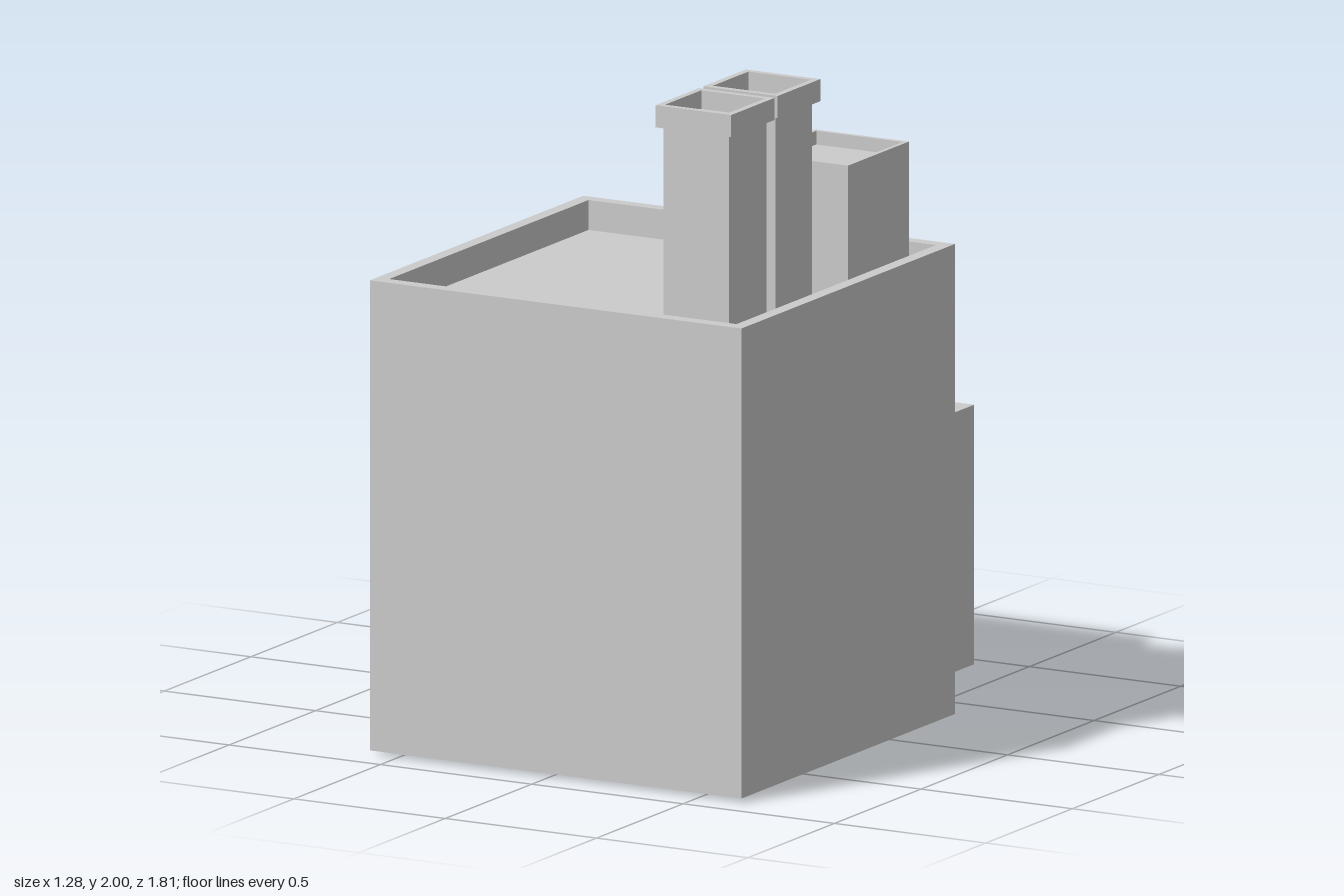
import * as THREE from 'three';

const material = new THREE.MeshStandardMaterial({
  color: 0xcccccc, flatShading: true, side: THREE.DoubleSide,
});

function addMesh(parent, name, geometry) {
  const mesh = new THREE.Mesh(geometry, material);
  mesh.name = name;
  parent.add(mesh);
  return mesh;
}

// Box given by its limits on each axis
function boxBetween(x0, x1, y0, y1, z0, z1) {
  return new THREE.BoxGeometry(x1 - x0, y1 - y0, z1 - z0)
    .translate((x0 + x1) / 2, (y0 + y1) / 2, (z0 + z1) / 2);
}

// Skin over stacked rectangles [x0, x1, z0, z1, y], closed by a cap on the last.
// Sides are 0 front, 1 +x, 2 back, 3 -x; skip(band, side) leaves a side open.
function loft(levels, { bottom = false, skip = () => false } = {}) {
  const positions = [];
  const quad = (a, b, c, d) => positions.push(...a, ...b, ...c, ...a, ...c, ...d);
  const rings = levels.map(([x0, x1, z0, z1, y]) =>
    [[x0, y, z1], [x1, y, z1], [x1, y, z0], [x0, y, z0]]);
  for (let k = 0; k < rings.length - 1; k++) {
    for (let i = 0; i < 4; i++) {
      const j = (i + 1) % 4;
      if (!skip(k, i)) quad(rings[k][i], rings[k][j], rings[k + 1][j], rings[k + 1][i]);
    }
  }
  quad(...rings[rings.length - 1]);
  if (bottom) quad(...[...rings[0]].reverse());
  const geometry = new THREE.BufferGeometry();
  geometry.setAttribute('position', new THREE.Float32BufferAttribute(positions, 3));
  geometry.computeVertexNormals();
  return geometry;
}

// Framed door on a wall facing -x; the frame passes through the wall
function addDoor(parent, name, { wall, depth, z0, z1, y0, y1, trim, handle }) {
  const door = new THREE.Group();
  door.name = name;
  const front = wall - depth;
  const inside = wall + depth * 0.6;
  addMesh(door, 'backPost', boxBetween(front, inside, y0, y1 - trim, z0, z0 + trim));
  addMesh(door, 'frontPost', boxBetween(front, inside, y0, y1 - trim, z1 - trim, z1));
  addMesh(door, 'lintel', boxBetween(front, inside, y1 - trim, y1, z0, z1));
  const panelBase = Math.max(y0, 0.012);
  addMesh(door, 'panel', new THREE.PlaneGeometry(z1 - z0 - 2 * trim, y1 - trim - panelBase)
    .rotateY(-Math.PI / 2)
    .translate(wall - depth * 0.25, (y1 - trim + panelBase) / 2, (z0 + z1) / 2));
  if (handle) {
    const { y, z, w, h, reach } = handle;
    addMesh(door, 'handle',
      boxBetween(wall - reach, inside, y - h / 2, y + h / 2, z - w / 2, z + w / 2));
  }
  parent.add(door);
}

export function createModel() {
  const model = new THREE.Group();
  model.name = 'building';

  // Main block with parapet and sunken roof
  addMesh(model, 'mainBlock', loft([
    [-0.59, 0.638, -0.33, 0.904, 0.012],
    [-0.59, 0.638, -0.33, 0.904, 1.396],
    [-0.55, 0.598, -0.29, 0.862, 1.396],
    [-0.55, 0.598, -0.29, 0.862, 1.308],
  ], { bottom: true, skip: (band, side) => band === 0 && side === 2 }));

  // Rear wall, open where the annex joins (x is mirrored as it turns to face back)
  const wall = new THREE.Shape([[-0.638, 0.012], [-0.373, 0.012], [-0.373, 0.68],
    [0.505, 0.68], [0.505, 0.012], [0.59, 0.012], [0.59, 1.396], [-0.638, 1.396]]
    .map(([x, y]) => new THREE.Vector2(x, y)));
  addMesh(model, 'rearWall',
    new THREE.ShapeGeometry(wall).rotateY(Math.PI).translate(0, 0, -0.33));

  // Rear annex, open to the main block and underneath
  addMesh(model, 'annex', loft([
    [-0.505, 0.373, -0.904, -0.33, 0.012],
    [-0.505, 0.373, -0.904, -0.33, 0.776],
    [-0.45, 0.32, -0.835, -0.33, 0.776],
    [-0.45, 0.32, -0.835, -0.33, 0.68],
  ], { skip: (band, side) => side === 0 }));

  // Angled duct on the annex roof, profile in z and y swept along x
  const profile = new THREE.Shape([[-0.33, 0.68], [-0.33, 0.846], [-0.44, 0.846],
    [-0.538, 0.776], [-0.567, 0.68]].map(([z, y]) => new THREE.Vector2(z, y)));
  addMesh(model, 'roofDuct',
    new THREE.ExtrudeGeometry(profile, { depth: 0.22, bevelEnabled: false })
      .rotateY(-Math.PI / 2).translate(-0.125, 0, 0));

  // Stair hut on the main roof
  addMesh(model, 'stairHut', loft([
    [0.238, 0.55, -0.217, 0.135, 1.308],
    [0.238, 0.55, -0.217, 0.135, 1.71],
    [0.252, 0.537, -0.203, 0.121, 1.71],
    [0.252, 0.537, -0.203, 0.121, 1.67],
  ]));

  // Pair of chimneys with hollow caps, the front one slightly wider
  for (const [name, x, z, grow] of [
    ['frontChimney', 0.435, 0.702, 0.002], ['backChimney', 0.433, 0.428, 0],
  ]) {
    const square = (half, y) =>
      [x - half - grow, x + half + grow, z - half - grow, z + half + grow, y];
    addMesh(model, name, loft([
      square(0.106, 1.308), square(0.106, 1.935), square(0.123, 1.935),
      square(0.123, 2), square(0.103, 2), square(0.103, 1.945),
    ]));
  }

  // Doors, all on the -x side
  addDoor(model, 'garageDoor',
    { wall: -0.59, depth: 0.048, z0: -0.07, z1: 0.634, y0: 0, y1: 0.74, trim: 0.02 });
  addDoor(model, 'annexDoor', {
    wall: -0.505, depth: 0.028, z0: -0.765, z1: -0.46, y0: 0.005, y1: 0.42, trim: 0.016,
    handle: { y: 0.22, z: -0.525, w: 0.022, h: 0.065, reach: 0.031 },
  });
  addDoor(model, 'hutDoor', {
    wall: 0.238, depth: 0.02, z0: -0.135, z1: 0.05, y0: 1.308, y1: 1.56, trim: 0.012,
    handle: { y: 1.435, z: 0.01, w: 0.014, h: 0.036, reach: 0.018 },
  });

  return model;
}
